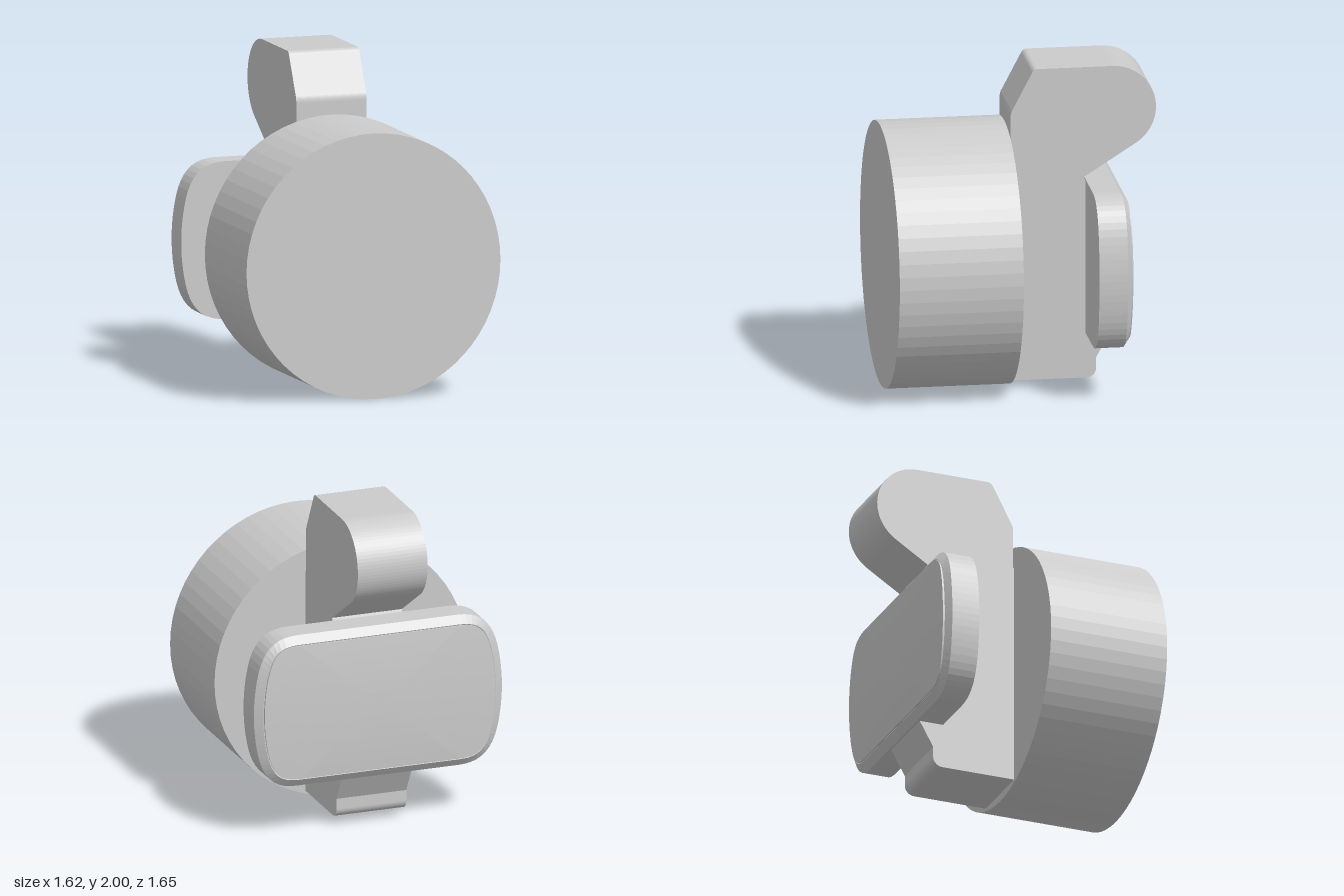
import * as THREE from 'three';

const material = new THREE.MeshStandardMaterial({ color: 0xcccccc, flatShading: true });

function addMesh(group, name, geometry) {
  const mesh = new THREE.Mesh(geometry, material);
  mesh.name = name;
  group.add(mesh);
  return mesh;
}

// Rounded pad outline with gently bulging ends, shrunk inward by `inset`
function padOutline(inset) {
  const w = 0.81 - inset, h = 0.482 - inset;
  const s = new THREE.Shape();
  s.moveTo(0.52, h);
  s.lineTo(-0.52, h);
  s.bezierCurveTo(-0.68, h, -w + 0.06, h - 0.09, -w + 0.03, 0.22);
  s.quadraticCurveTo(-w - 0.01, 0, -w + 0.03, -0.22);
  s.bezierCurveTo(-w + 0.06, -h + 0.09, -0.68, -h, -0.52, -h);
  s.lineTo(0.52, -h);
  s.bezierCurveTo(0.68, -h, w - 0.06, -h + 0.09, w - 0.03, -0.22);
  s.quadraticCurveTo(w + 0.01, 0, w - 0.03, 0.22);
  s.bezierCurveTo(w - 0.06, h - 0.09, 0.68, h, 0.52, h);
  return s.getPoints(10).slice(0, -1);
}

// Skin a stack of closed rings, fanning both ends shut
function loft(rings) {
  const n = rings[0].length, pos = [], index = [];
  rings.forEach(r => r.forEach(p => pos.push(p.x, p.y, p.z)));
  for (let k = 0; k < rings.length - 1; k++) {
    for (let i = 0; i < n; i++) {
      const a = k * n + i, b = k * n + (i + 1) % n;
      index.push(a, a + n, b, b, a + n, b + n);
    }
  }
  const last = (rings.length - 1) * n, c = pos.length / 3;
  for (const r of [rings[0], rings[rings.length - 1]]) {
    const z = r.reduce((sum, p) => sum + p.z, 0) / n;
    pos.push(0, 0, z);
  }
  for (let i = 0; i < n; i++) {
    const j = (i + 1) % n;
    index.push(c, i, j, c + 1, last + j, last + i);
  }
  const g = new THREE.BufferGeometry();
  g.setAttribute('position', new THREE.Float32BufferAttribute(pos, 3));
  g.setIndex(index);
  g.computeVertexNormals();
  return g;
}

export function createModel() {
  const group = new THREE.Group();

  // Large front drum
  const drum = addMesh(group, 'drum', new THREE.CylinderGeometry(0.812, 0.812, 0.757, 64));
  drum.rotation.x = Math.PI / 2;
  drum.position.set(0, 0.812, 0.4465);

  // Bracket: side profile (z, y) extruded across x
  const p = new THREE.Shape();
  p.moveTo(0.075, 0.05);
  p.lineTo(-0.4, 0.05);
  p.absarc(-0.4, 0.11, 0.06, -Math.PI / 2, -Math.PI, true);
  p.lineTo(-0.46, 0.175);
  p.lineTo(-0.555, 0.345);
  p.lineTo(-0.5, 0.4);
  p.lineTo(-0.41, 1.25);
  p.lineTo(-0.385, 1.31);
  p.absarc(-0.56, 1.735, 0.265, -2.1, -Math.PI * 1.5, true);
  p.lineTo(-0.105, 2);
  p.quadraticCurveTo(-0.08, 2, -0.068, 1.975);
  p.lineTo(0.05, 1.75);
  p.quadraticCurveTo(0.062, 1.73, 0.062, 1.7);
  p.lineTo(0.062, 1.46);
  p.lineTo(0.075, 1.45);
  p.closePath();
  const bracket = new THREE.ExtrudeGeometry(p, { depth: 0.45, bevelEnabled: false, curveSegments: 16 });
  bracket.rotateY(-Math.PI / 2);
  bracket.translate(0.225, 0, 0);
  addMesh(group, 'bracket', bracket);

  // Rear pad body with a bevelled rim
  const ring = (inset, z) => padOutline(inset).map(q => new THREE.Vector3(q.x, q.y, z(q)));
  const pad = addMesh(group, 'pad', loft([
    ring(0, () => -0.395),
    ring(0, q => -0.555 - 0.025 * q.x * q.x),
    ring(0.05, () => -0.6),
    ring(0.06, () => -0.595),
  ]));
  pad.position.y = 0.814;

  // Slightly domed face plate on the pad
  const dome = (x, y) => -0.624 + 0.025 * x * x + 0.06 * y * y;
  const edge = padOutline(0.056);
  const rings = [edge.map(q => new THREE.Vector3(q.x, q.y, -0.59))];
  for (let k = 0; k < 6; k++) {
    const s = 1 - k / 6;
    rings.push(edge.map(q => new THREE.Vector3(q.x * s, q.y * s, dome(q.x * s, q.y * s))));
  }
  const face = addMesh(group, 'padFace', loft(rings));
  face.position.y = 0.814;

  return group;
}
